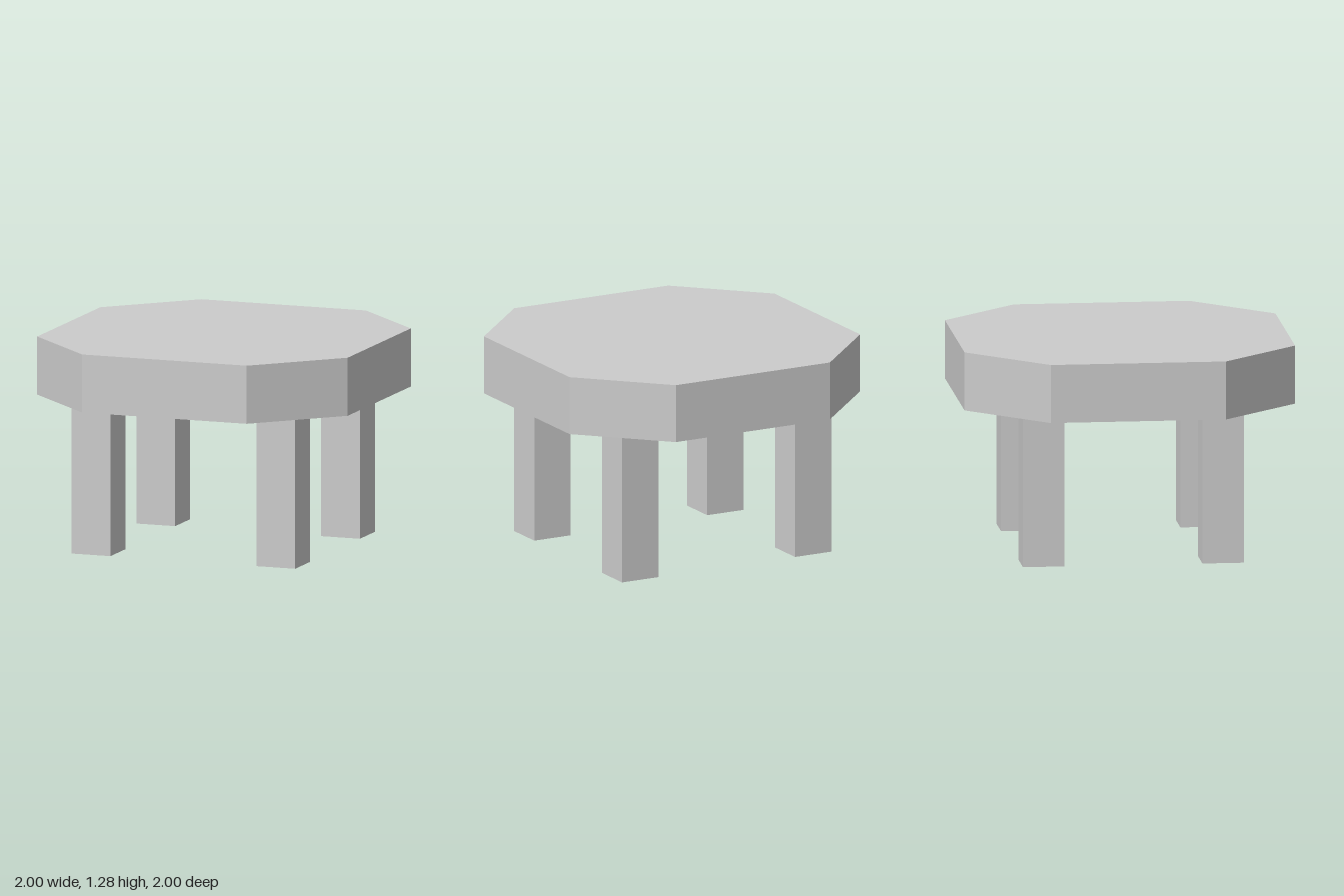
import * as THREE from 'three';

const material = new THREE.MeshStandardMaterial({
  color: 0xcccccc, flatShading: true, side: THREE.DoubleSide,
});

// Hollow prism, open below. Corners are [x, z], counter-clockwise seen from above.
function hollowPrism(name, corners, bottom, top, closedTop) {
  const positions = [];
  corners.forEach(([ax, az], i) => {
    const [bx, bz] = corners[(i + 1) % corners.length];
    positions.push(ax, bottom, az, bx, bottom, bz, bx, top, bz);
    positions.push(ax, bottom, az, bx, top, bz, ax, top, az);
    if (closedTop) positions.push(ax, top, az, bx, top, bz, 0, top, 0);
  });
  const geometry = new THREE.BufferGeometry();
  geometry.setAttribute('position', new THREE.Float32BufferAttribute(positions, 3));
  geometry.computeVertexNormals();
  const mesh = new THREE.Mesh(geometry, material);
  mesh.name = name;
  return mesh;
}

export function createModel() {
  const group = new THREE.Group();
  group.name = 'table';

  // Thick octagonal top, hollow underneath
  const c = 0.53;
  const octagon = [[-c, 1], [c, 1], [1, c], [1, -c], [c, -1], [-c, -1], [-1, -c], [-1, c]];
  group.add(hollowPrism('tableTop', octagon, 0.93, 1.285, true));

  // Four square legs reaching a little way up inside the top
  const h = 0.125;
  const square = [[-h, h], [h, h], [h, -h], [-h, -h]];
  for (const [side, x] of [['Left', 0.59], ['Right', -0.6]]) {
    for (const [end, z] of [['front', 0.543], ['back', -0.543]]) {
      const leg = hollowPrism(`${end}${side}Leg`, square, 0, 1.05, false);
      leg.position.set(x, 0, z);
      group.add(leg);
    }
  }
  return group;
}
